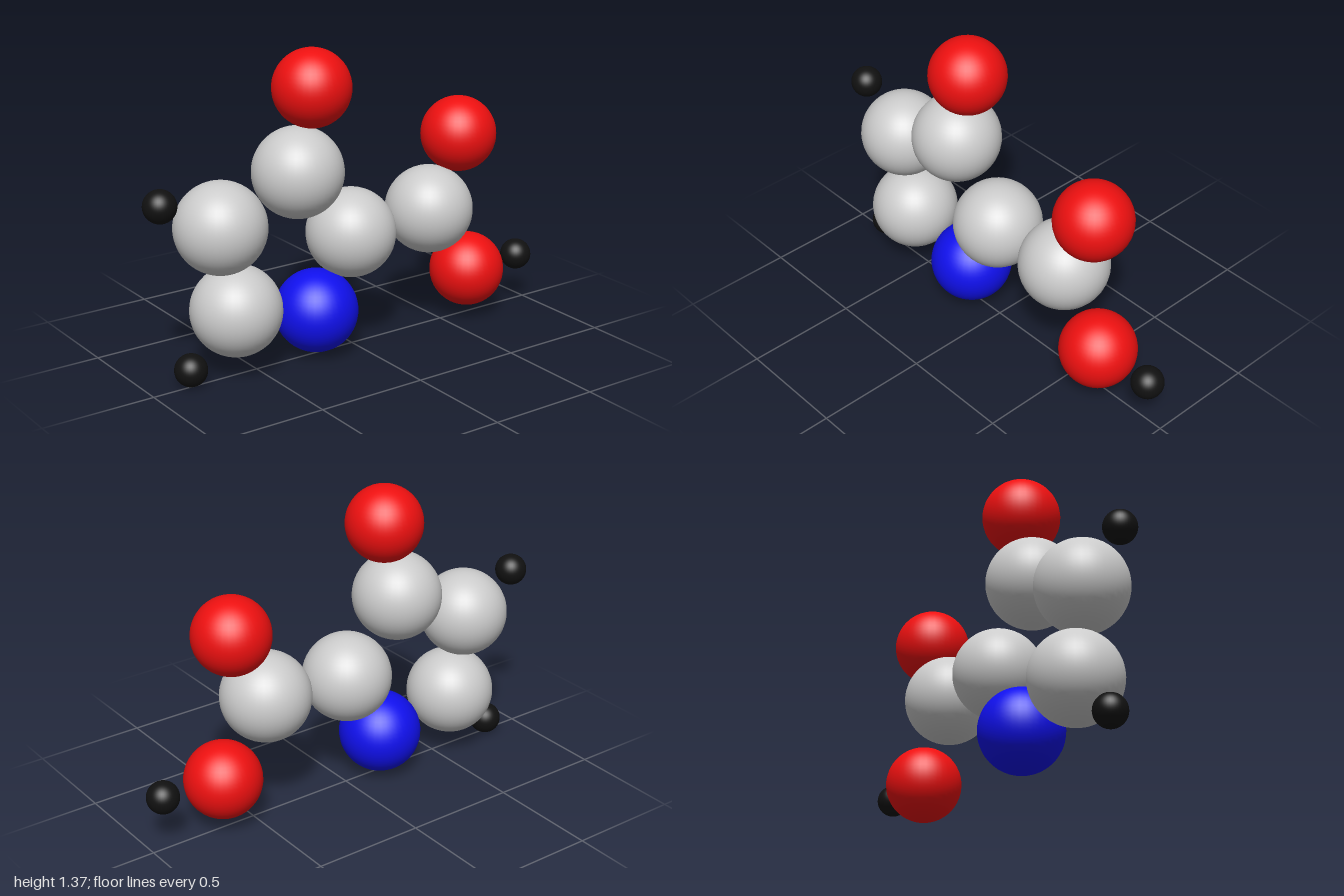
import * as THREE from 'three';

// Each kind of atom: radius and colour
const KINDS = {
  carbon: { radius: 0.198, color: 0xcccccc },
  oxygen: { radius: 0.17, color: 0xee1010 },
  nitrogen: { radius: 0.184, color: 0x1010ee },
  hydrogen: { radius: 0.071, color: 0x111111 },
};

// Part name, kind and centre of every atom
const ATOMS = [
  // five-membered ring
  ['ringCarbonTop', 'carbon', -0.278, 0.842, 0],
  ['ringCarbonUpperRight', 'carbon', -0.655, 0.666, -0.011],
  ['ringCarbonLowerRight', 'carbon', -0.591, 0.289, -0.006],
  ['ringNitrogen', 'nitrogen', -0.19, 0.2, 0],
  ['ringCarbonLeft', 'carbon', -0.008, 0.524, 0.004],
  // oxygen and hydrogens attached to the ring
  ['ringOxygen', 'oxygen', -0.203, 1.195, -0.002],
  ['upperRingHydrogen', 'hydrogen', -0.929, 0.807, -0.019],
  ['lowerRingHydrogen', 'hydrogen', -0.815, 0.071, -0.009],
  // acid side group
  ['acidCarbon', 'carbon', 0.414, 0.553, 0.011],
  ['acidOxygenUpper', 'oxygen', 0.575, 0.877, 0.013],
  ['acidOxygenLower', 'oxygen', 0.636, 0.222, 0.016],
  ['acidHydrogen', 'hydrogen', 0.929, 0.233, 0.021],
];

export function createModel() {
  const model = new THREE.Group();
  model.name = 'molecule';

  // One shared sphere and material per kind
  const parts = {};
  for (const [kind, { radius, color }] of Object.entries(KINDS)) {
    parts[kind] = {
      geometry: new THREE.SphereGeometry(radius, 40, 28),
      material: new THREE.MeshStandardMaterial({ color }),
    };
  }

  for (const [name, kind, x, y, z] of ATOMS) {
    const atom = new THREE.Mesh(parts[kind].geometry, parts[kind].material);
    atom.name = name;
    atom.position.set(x, y, z);
    model.add(atom);
  }
  return model;
}
